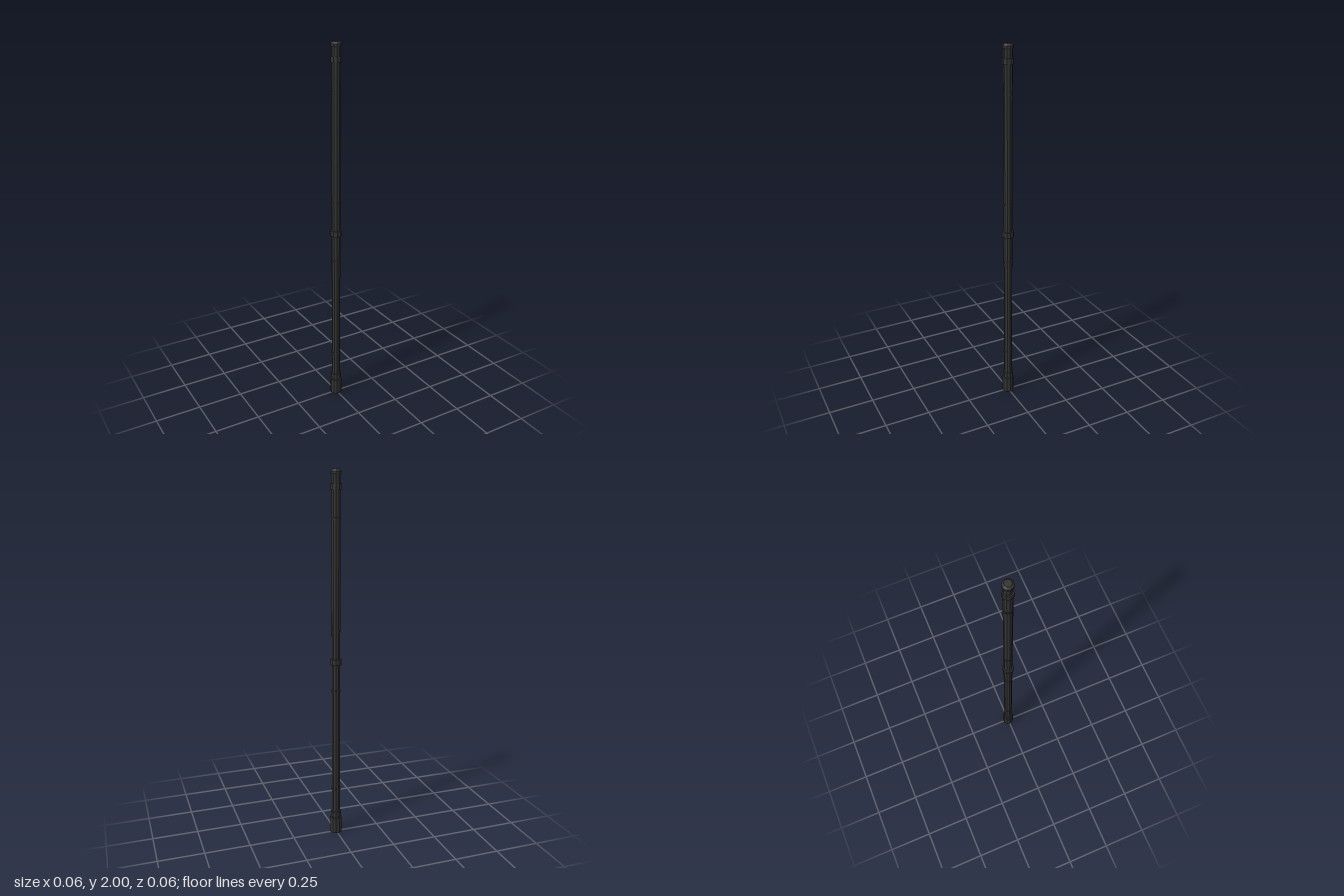
import * as THREE from 'three';

const SIDES = 10;

export function createModel() {
  const group = new THREE.Group();
  const dark = new THREE.MeshStandardMaterial({ color: 0x333333, flatShading: true });

  // Ten-sided section of the staff between two heights, with a corner on +x
  function section(name, y0, y1, rBottom, rTop = rBottom) {
    const geometry = new THREE.CylinderGeometry(rTop, rBottom, y1 - y0, SIDES);
    geometry.rotateY(Math.PI / 2);
    const mesh = new THREE.Mesh(geometry, dark);
    mesh.name = name;
    mesh.position.y = (y0 + y1) / 2;
    group.add(mesh);
  }

  section('shaft', 0.05, 1.985, 0.0235);

  // Foot of the staff
  section('baseCap', 0, 0.09, 0.032);

  // Wide collars near the foot, at the middle and near the head
  for (const [y, r] of [[0.113, 0.03], [1.003, 0.0315], [1.915, 0.03]]) {
    section('collar', y - 0.015, y + 0.015, r);
  }

  // Narrow bands along the grips
  for (const y of [0.265, 0.84, 1.172, 1.757]) {
    section('band', y - 0.005, y + 0.005, 0.026);
  }

  // Bevelled knob on top
  section('knobUnderside', 1.973, 1.979, 0.0235, 0.028);
  section('knob', 1.979, 1.99, 0.028);
  section('knobBevel', 1.99, 2, 0.028, 0.018);

  return group;
}
